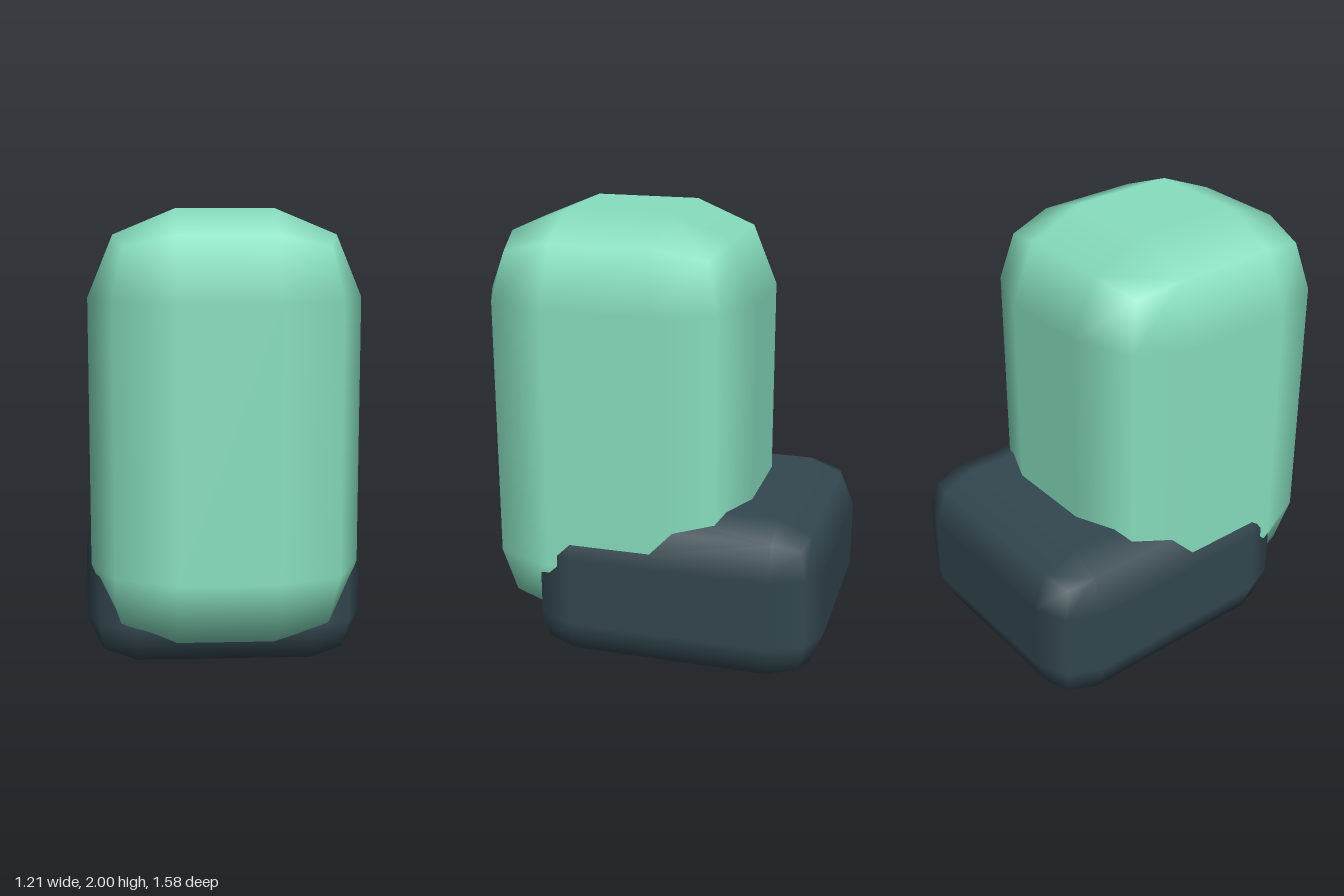
import * as THREE from 'three';
import { RoundedBoxGeometry } from 'three/addons/geometries/RoundedBoxGeometry.js';

export function createModel() {
  const group = new THREE.Group();
  group.name = 'model';

  const mint = new THREE.MeshStandardMaterial({ name: 'mint green', color: 0x88dfc0 });
  const slate = new THREE.MeshStandardMaterial({ name: 'dark slate', color: 0x33474f });

  // Box with two-facet rounded edges, placed by its min and max corners
  function roundedBlock(name, min, max, radius, material) {
    const size = max.map((v, i) => v - min[i]);
    const mesh = new THREE.Mesh(new RoundedBoxGeometry(...size, 1, radius), material);
    mesh.position.set(...max.map((v, i) => (v + min[i]) / 2));
    mesh.name = name;
    group.add(mesh);
  }

  // Tall upright body
  roundedBlock('body', [-0.58, 0.105, -0.42], [0.58, 2, 0.79], 0.37, mint);
  // Low block wrapped around the lower back of the body
  roundedBlock('base', [-0.605, 0, -0.79], [0.605, 0.74, 0.53], 0.215, slate);

  return group;
}
